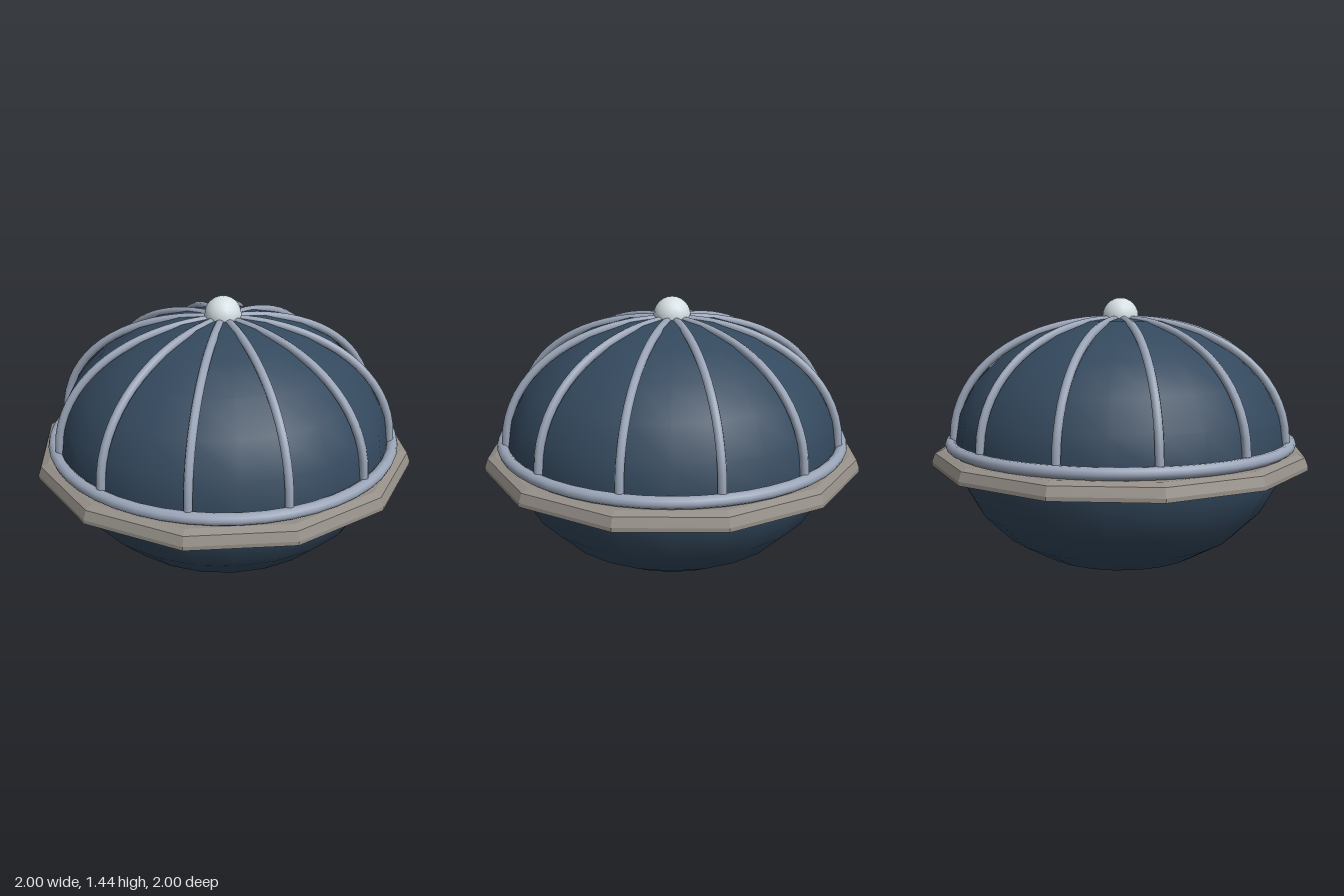
import * as THREE from 'three';

const mat = (color, extra = {}) => new THREE.MeshStandardMaterial({ color, ...extra });

export function createModel() {
  const group = new THREE.Group();
  const add = (name, geometry, material, y = 0) => {
    const mesh = new THREE.Mesh(geometry, material);
    mesh.name = name;
    mesh.position.y = y;
    group.add(mesh);
    return mesh;
  };
  const midY = 0.675;
  const metal = mat(0x9aa5b8);

  // flattened ball body
  const body = new THREE.SphereGeometry(1, 24, 12);
  body.scale(0.88, 0.67, 0.88);
  add('body', body, mat(0x34495e), midY);

  // twelve-sided rim with a bevelled top and flat underside
  const rim = [[0.84, 0.58], [1, 0.58], [1, 0.6], [0.983, 0.645], [0.945, 0.66], [0.84, 0.66]]
    .map(([r, y]) => new THREE.Vector2(r, y));
  add('rim', new THREE.LatheGeometry(rim, 12).toNonIndexed(),
    mat(0x958f88, { flatShading: true, side: THREE.DoubleSide }));

  // round band resting on the rim
  const band = new THREE.TorusGeometry(0.9, 0.03, 10, 48);
  band.rotateX(Math.PI / 2);
  add('band', band, metal, 0.69);

  // arched ribs from the band to the crown
  const points = [];
  for (let i = 0; i <= 8; i++) {
    const a = (i / 8) * Math.PI / 2;
    points.push(new THREE.Vector3(
      0.885 * Math.pow(Math.max(Math.cos(a), 0), 0.91),
      0.68 + 0.65 * Math.pow(Math.sin(a), 0.91), 0));
  }
  const rib = new THREE.TubeGeometry(new THREE.CatmullRomCurve3(points), 20, 0.022, 8);
  for (let i = 0; i < 12; i++) add('rib', rib, metal).rotation.y = i * Math.PI / 6;

  // crown knob
  add('knob', new THREE.SphereGeometry(0.096, 16, 12), mat(0xd5dfe3), 1.345);

  return group;
}
